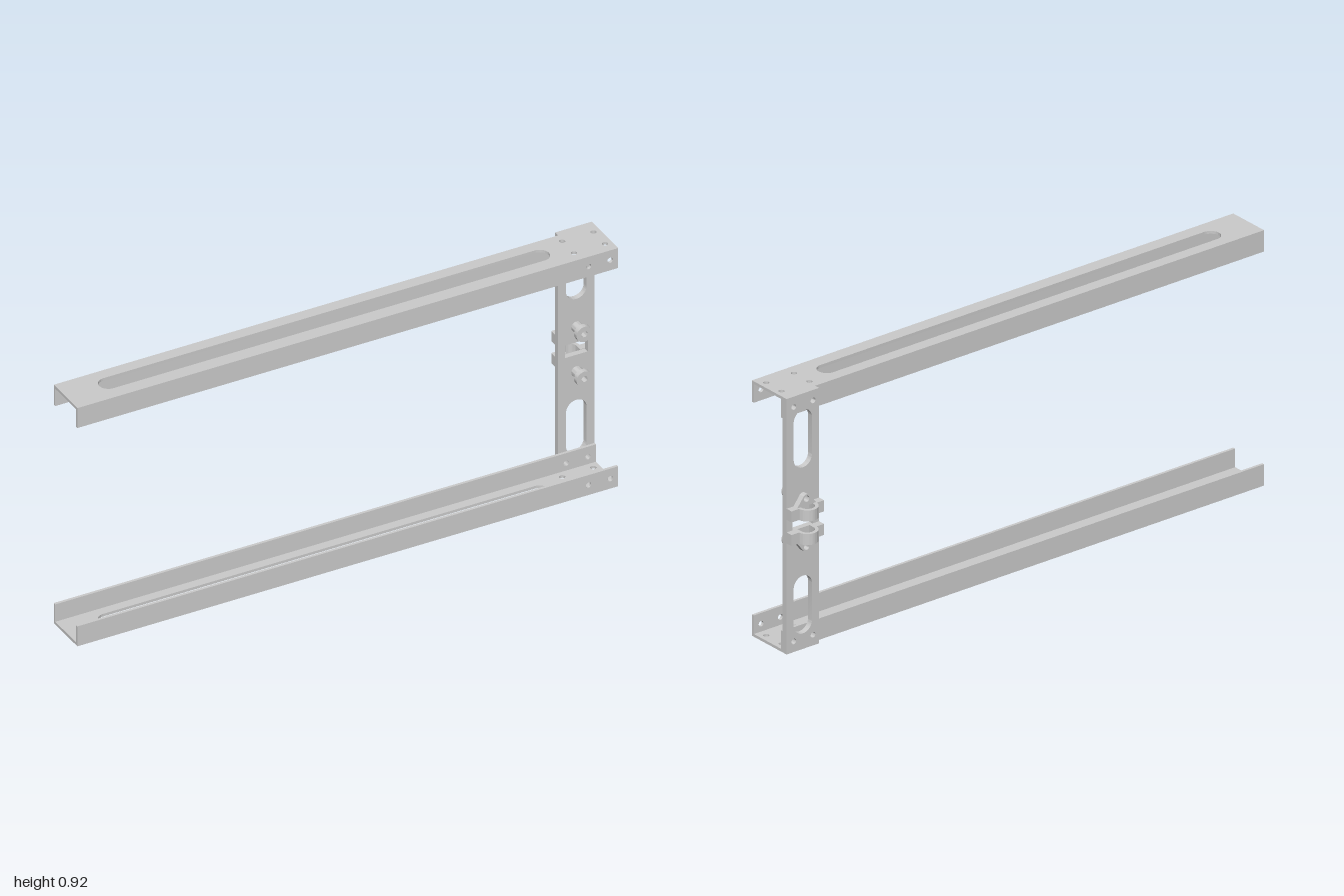
import * as THREE from 'three';
import { toCreasedNormals } from 'three/addons/utils/BufferGeometryUtils.js';

const H = 0.92;      // overall height
const T = 0.01;      // sheet thickness
const CX = 0.9325;   // centre line of the upright
const material = new THREE.MeshStandardMaterial({ color: 0xcccccc });

function add(parent, geometry, name) {
  const mesh = new THREE.Mesh(toCreasedNormals(geometry, 0.6), material);
  mesh.name = name;
  parent.add(mesh);
}

function extrude(shape, depth) {
  return new THREE.ExtrudeGeometry(shape, { depth, bevelEnabled: false, curveSegments: 20 });
}

function rect(x0, y0, x1, y1) {
  return new THREE.Shape([[x0, y0], [x1, y0], [x1, y1], [x0, y1]].map(p => new THREE.Vector2(...p)));
}

function hole(x, y, r) {
  return new THREE.Path().absarc(x, y, r, 0, Math.PI * 2, true);
}

// Slot with round ends between two centres
function slot(x0, y0, x1, y1, r) {
  const a = Math.atan2(y1 - y0, x1 - x0);
  const path = new THREE.Path();
  path.absarc(x1, y1, r, a - Math.PI / 2, a + Math.PI / 2, false);
  path.absarc(x0, y0, r, a + Math.PI / 2, a + Math.PI * 1.5, false);
  path.closePath();
  return path;
}

// Long U-shaped rail, opening towards the middle of the frame
function rail(upper) {
  const g = new THREE.Group();
  g.name = upper ? 'upperRail' : 'lowerRail';

  const web = rect(-1, -0.04, 1, 0.12);
  web.holes.push(slot(-0.84, 0.037, 0.755, 0.037, 0.034));
  for (const x of [0.86, 0.975]) for (const z of [-0.003, 0.077]) web.holes.push(hole(x, z, 0.01));
  add(g, extrude(web, T).rotateX(Math.PI / 2).translate(0, upper ? H : T, 0), 'railWeb');

  for (const [z, drop, name] of [[0.11, 0.077, 'frontFlange'], [-0.04, 0.077, 'backFlange']]) {
    const flange = upper ? rect(-1, H - drop, 1, H - T) : rect(-1, T, 1, drop);
    for (const x of [0.89, 0.97]) flange.holes.push(hole(x, upper ? H - 0.038 : 0.038, 0.01));
    add(g, extrude(flange, T).translate(0, 0, z), name);
  }
  return g;
}

// Flat upright joining the rails
function upright() {
  const g = new THREE.Group();
  g.name = 'upright';
  const plate = rect(0.865, 0, 1, H);
  plate.holes.push(rect(0.89, 0.438, 0.975, 0.486));
  for (const y of [0.094, 0.692]) plate.holes.push(slot(CX, y, CX, y + 0.132, 0.038));
  for (const y of [0.038, H - 0.038]) for (const x of [0.89, 0.97]) plate.holes.push(hole(x, y, 0.01));
  for (const y of [0.375, 0.548]) plate.holes.push(hole(CX, y, 0.011));
  add(g, extrude(plate, 0.02).translate(0, 0, -0.06), 'uprightPlate');
  return g;
}

// Arched clamp with a rounded tab, and its hollow bolt
function clamp(upper) {
  const g = new THREE.Group();
  g.name = upper ? 'upperClamp' : 'lowerClamp';

  const arch = new THREE.Shape();
  arch.moveTo(-0.0675, 0.06);
  arch.lineTo(-0.025, 0.06);
  arch.absarc(0, 0.083, 0.025, Math.PI, 0, true);
  arch.lineTo(0.025, 0.06);
  arch.lineTo(0.0675, 0.06);
  arch.lineTo(0.0675, 0.086);
  arch.absarc(0, 0.083, 0.037, 0.08, Math.PI - 0.08, false);
  arch.lineTo(-0.0675, 0.086);
  add(g, extrude(arch, 0.04).rotateX(-Math.PI / 2).translate(CX, upper ? 0.485 : 0.4, 0), 'clampArch');

  const y = upper ? 0.548 : 0.375, s = upper ? 1 : -1;
  const tab = new THREE.Shape();
  tab.moveTo(-0.04 * s, -0.024 * s);
  tab.lineTo(0.04 * s, -0.024 * s);
  const a = upper ? 0 : Math.PI;
  tab.absarc(0, 0, 0.017, a + 0.6, a + Math.PI - 0.6, false);
  tab.holes.push(hole(0, 0, 0.011));
  add(g, extrude(tab, 0.02).translate(CX, y, -0.08), 'clampTab');

  const profile = [[0.011, -0.041], [0.019, -0.041], [0.019, -0.003], [0.029, -0.003],
    [0.029, 0.015], [0.011, 0.015], [0.011, -0.041]].map(p => new THREE.Vector2(...p));
  add(g, new THREE.LatheGeometry(profile, 32).rotateX(Math.PI / 2).translate(CX, y, 0), 'bolt');
  return g;
}

export function createModel() {
  const model = new THREE.Group();
  model.name = 'railFrame';
  model.add(rail(true), rail(false), upright(), clamp(true), clamp(false));
  return model;
}
